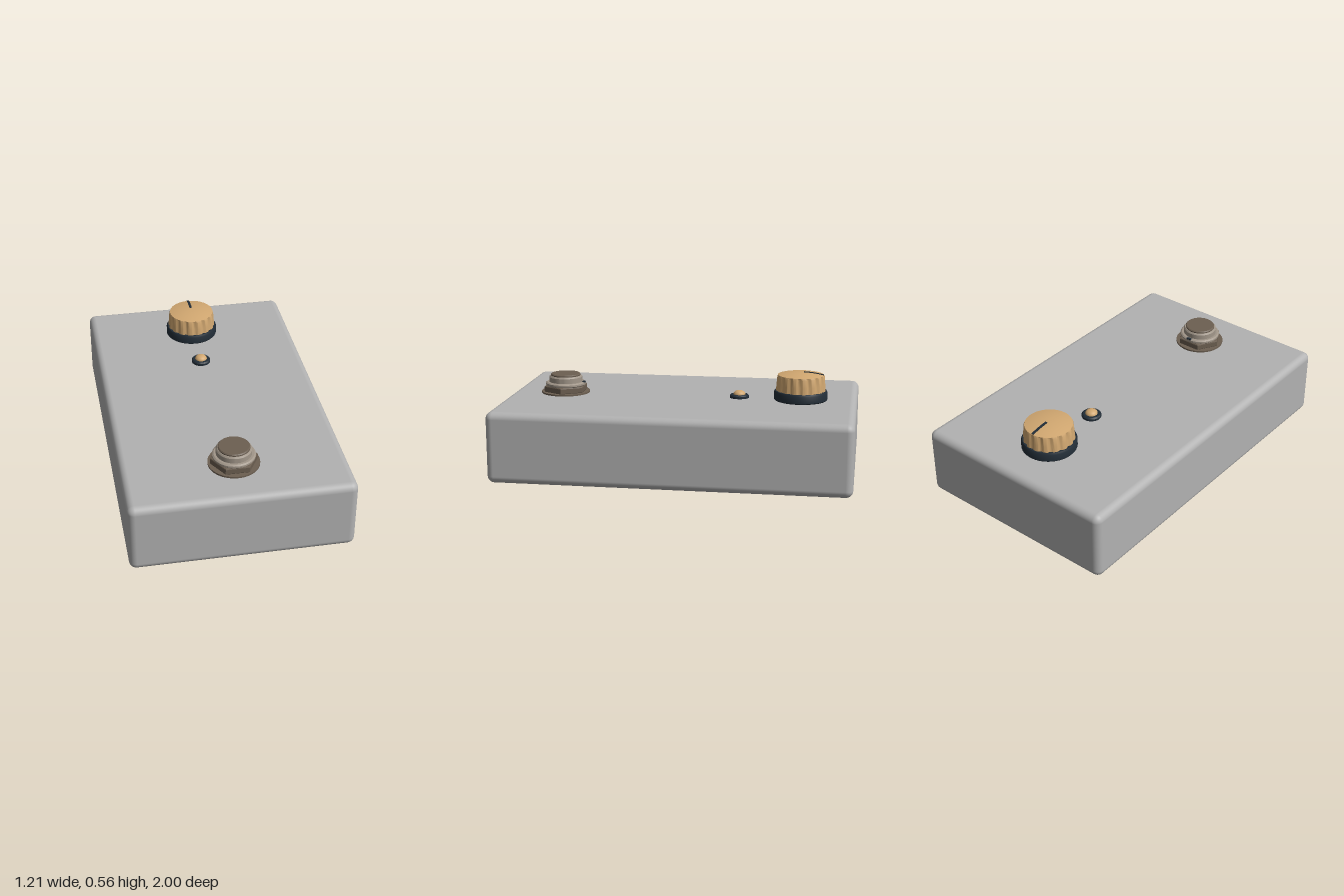
import * as THREE from 'three';
import { toCreasedNormals } from 'three/addons/utils/BufferGeometryUtils.js';
import { RoundedBoxGeometry } from 'three/addons/geometries/RoundedBoxGeometry.js';

const paint = (name, color) => {
  const m = new THREE.MeshStandardMaterial({ color });
  m.name = name;
  return m;
};

export function createModel() {
  const model = new THREE.Group();
  model.name = 'effectPedal';
  const grey = paint('enclosure grey', 0xb2b2b2);
  const tan = paint('warm tan', 0xd2a871);
  const navy = paint('dark navy', 0x222d37);
  const steel = paint('warm steel', 0xa2978a);
  const brown = paint('dark bronze', 0x6c5f51);

  const add = (parent, name, geometry, material) => {
    const mesh = new THREE.Mesh(geometry, material);
    mesh.name = name;
    parent.add(mesh);
    return mesh;
  };
  // Turned part from [radius, height] pairs, listed from bottom to top
  const turned = (points, segments = 64, crease = 0.6) =>
    toCreasedNormals(new THREE.LatheGeometry(points.map(p => new THREE.Vector2(...p)), segments), crease);
  const assembly = (name, z) => {
    const g = new THREE.Group();
    g.name = name;
    g.position.set(0, TOP, z);
    model.add(g);
    return g;
  };

  // Enclosure
  const TOP = 0.4;
  add(model, 'enclosure', new RoundedBoxGeometry(1.21, TOP, 2, 5, 0.04), grey).position.y = TOP / 2;

  // Control knob
  const knob = assembly('controlKnob', -0.68);
  add(knob, 'knobSkirt', turned([[0, 0], [0.148, 0], [0.152, 0.005], [0.152, 0.043], [0.146, 0.054], [0, 0.054]]), navy);

  // Fluted cap: sides are pressed inward by shallow grooves that fade at the dome
  const domeY = r => 0.159 - 0.016 * (r / 0.132) ** 2;
  const capProfile = [[0.141, 0.05], [0.138, 0.09], [0.134, 0.135], [0.13, domeY(0.13)]];
  for (let r = 0.11; r > 0.001; r -= 0.022) capProfile.push([r, domeY(r)]);
  capProfile.push([0, domeY(0)]);
  const cap = new THREE.LatheGeometry(capProfile.map(p => new THREE.Vector2(...p)), 160);
  const pos = cap.attributes.position;
  for (let i = 0; i < pos.count; i++) {
    const x = pos.getX(i), z = pos.getZ(i), r = Math.hypot(x, z);
    if (r < 0.132) continue;
    const groove = Math.max(0, Math.cos(16 * Math.atan2(x, z))) ** 0.7;
    const k = 1 - 0.05 * groove;
    pos.setX(i, x * k);
    pos.setZ(i, z * k);
  }
  add(knob, 'knobCap', toCreasedNormals(cap, 0.6), tan);

  // Pointer strip bent over the dome
  const strip = new THREE.BoxGeometry(0.014, 0.006, 0.112, 1, 1, 8);
  strip.translate(0, 0, -0.072);
  const sp = strip.attributes.position;
  for (let i = 0; i < sp.count; i++) sp.setY(i, sp.getY(i) + domeY(Math.abs(sp.getZ(i))));
  strip.computeVertexNormals();
  add(knob, 'knobPointer', strip, navy);

  // Indicator lamp
  const lamp = assembly('indicatorLamp', -0.33);
  add(lamp, 'lampBezel', turned([[0, 0], [0.055, 0], [0.055, 0.012], [0.048, 0.019], [0, 0.019]], 40), navy);
  const dome = new THREE.SphereGeometry(0.035, 32, 12, 0, Math.PI * 2, 0, Math.PI / 2);
  dome.scale(1, 0.7, 1);
  add(lamp, 'lampDome', dome, tan).position.y = 0.018;

  // Foot switch
  const foot = assembly('footSwitch', 0.69);
  add(foot, 'flatWasher', turned([[0, 0], [0.14, 0], [0.14, 0.009], [0, 0.009]]), brown);

  // Hexagonal nut with chamfered rim
  const nutShape = new THREE.Shape();
  for (let i = 0; i < 6; i++) {
    const a = i * Math.PI / 3;
    nutShape[i ? 'lineTo' : 'moveTo'](0.122 * Math.cos(a), 0.122 * Math.sin(a));
  }
  nutShape.closePath();
  const nut = new THREE.ExtrudeGeometry(nutShape, {
    depth: 0.026, bevelEnabled: true, bevelThickness: 0.006, bevelSize: 0.006, bevelSegments: 2,
  });
  nut.rotateX(-Math.PI / 2);
  add(foot, 'hexNut', nut, brown).position.y = 0.012;

  // Keyed lock washer, bushing and plunger
  add(foot, 'lockWasher', turned([[0, 0.042], [0.11, 0.042], [0.116, 0.048], [0.116, 0.058], [0.108, 0.064], [0, 0.064]]), steel);
  add(foot, 'washerKey', new THREE.BoxGeometry(0.03, 0.008, 0.014), navy).position.set(0, 0.062, -0.108);
  add(foot, 'bushing', turned([[0.096, 0.06], [0.096, 0.092], [0.09, 0.1], [0, 0.1]]), steel);
  add(foot, 'plunger', turned([[0.084, 0.095], [0.086, 0.1], [0.086, 0.106], [0.081, 0.111], [0, 0.111]]), brown);

  return model;
}
